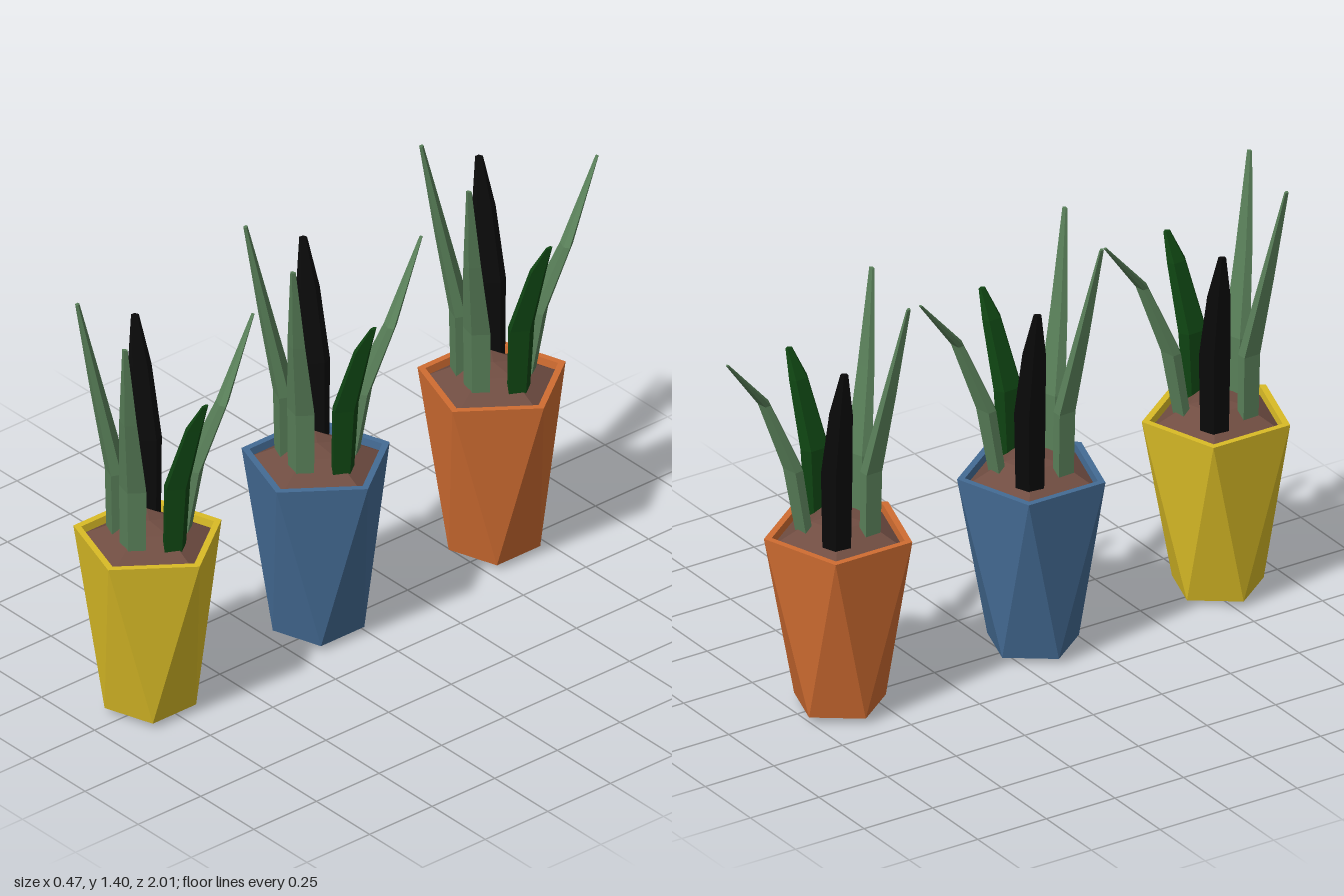
import * as THREE from 'three';

const mat = (name, color) => {
  const m = new THREE.MeshStandardMaterial({ color, flatShading: true });
  m.name = name;
  return m;
};

// Skins a list of closed rings (each an array of Vector3) with flat faces
function loft(rings) {
  const pos = [];
  const tri = (a, b, c) => {
    if (a.equals(b) || b.equals(c) || a.equals(c)) return;
    for (const p of [a, b, c]) pos.push(p.x, p.y, p.z);
  };
  for (let i = 0; i < rings.length - 1; i++) {
    const lo = rings[i], hi = rings[i + 1], n = lo.length;
    for (let j = 0; j < n; j++) {
      const k = (j + 1) % n;
      tri(lo[j], hi[j], hi[k]);
      tri(lo[j], hi[k], lo[k]);
    }
  }
  const g = new THREE.BufferGeometry();
  g.setAttribute('position', new THREE.Float32BufferAttribute(pos, 3));
  g.computeVertexNormals();
  return g;
}

// Horizontal pentagon ring
const pentagon = (r, y, turn = 0) => Array.from({ length: 5 }, (_, i) => {
  const a = (i * 72 + turn) * Math.PI / 180;
  return new THREE.Vector3(r * Math.cos(a), y, r * Math.sin(a));
});

// Leaf cross-section as [outward, sideways]: ridge outside, flat inside
const SECTION = [[0.032, 0], [0, 0.048], [-0.028, 0.03], [-0.028, -0.03], [0, -0.048]];

// Leaf through stations [x, y, z, scale], facing away from the pot centre
function leafGeometry(stations) {
  const a = Math.atan2(stations[0][2], stations[0][0]);
  const c = Math.cos(a), s = Math.sin(a);
  const rings = stations.map(([x, y, z, k]) => SECTION.map(([v, u]) =>
    new THREE.Vector3(x + k * (v * c - u * s), y, z + k * (v * s + u * c))));
  const [x, y, z] = stations[stations.length - 1];
  rings.push(SECTION.map(() => new THREE.Vector3(x, y, z)));
  return loft(rings);
}

export function createModel() {
  const model = new THREE.Group();
  model.name = 'pottedPlants';

  const leafGreen = mat('leaf green', 0x587e58);
  const darkGreen = mat('dark green', 0x0f4412);
  const black = mat('black leaf', 0x0a0a0a);
  const brown = mat('soil brown', 0x704d42);

  const leaves = [
    ['backLeaf', leafGreen, [[0.04, 0.57, -0.095, 0.8], [0.06, 0.83, -0.13, 0.95],
      [0.105, 1.05, -0.205, 0.6], [0.035, 1.26, -0.385, 0.15]]],
    ['leftLeaf', darkGreen, [[0.115, 0.57, -0.005, 0.9], [0.125, 0.84, -0.01, 1.05],
      [0.178, 1.06, -0.033, 0.7], [0.212, 1.15, -0.045, 0.25]]],
    ['backRightLeaf', black, [[-0.1, 0.57, -0.075, 0.9], [-0.115, 0.87, -0.085, 1],
      [-0.165, 1.1, -0.102, 0.75], [-0.203, 1.255, -0.115, 0.25]]],
    ['frontRightLeaf', leafGreen, [[-0.085, 0.57, 0.06, 0.95], [-0.085, 0.83, 0.065, 1],
      [-0.132, 1.1, 0.098, 0.65], [-0.183, 1.4, 0.133, 0.2]]],
    ['frontLeaf', leafGreen, [[0.035, 0.57, 0.095, 0.95], [0.04, 0.83, 0.1, 1],
      [0.075, 1.1, 0.148, 0.65], [0.113, 1.4, 0.193, 0.2]]],
  ].map(([name, material, stations]) => [name, material, leafGeometry(stations)]);

  // Faceted pot: pointed base, twisted sides, flat rim and inner wall
  const potGeometry = loft([
    pentagon(0, 0, 36), pentagon(0.147, 0.02, 36), pentagon(0.238, 0.605),
    pentagon(0.213, 0.605), pentagon(0.207, 0.56),
  ]);
  // Mounded soil
  const soilGeometry = loft([
    pentagon(0.209, 0.58), pentagon(0.09, 0.645), pentagon(0, 0.658),
  ]);

  const pots = [
    ['yellow', 0xd9bb26, -0.008, 0.775],
    ['blue', 0x446b94, -0.018, 0.095],
    ['orange', 0xcf6c31, -0.027, -0.615],
  ];
  for (const [name, color, x, z] of pots) {
    const plant = new THREE.Group();
    plant.name = name + 'PottedPlant';
    plant.position.set(x, 0, z);
    const add = (part, geometry, material) => {
      const mesh = new THREE.Mesh(geometry, material);
      mesh.name = part;
      plant.add(mesh);
    };
    add('pot', potGeometry, mat(name + ' pot', color));
    add('soil', soilGeometry, brown);
    for (const [part, material, geometry] of leaves) add(part, geometry, material);
    model.add(plant);
  }
  return model;
}
